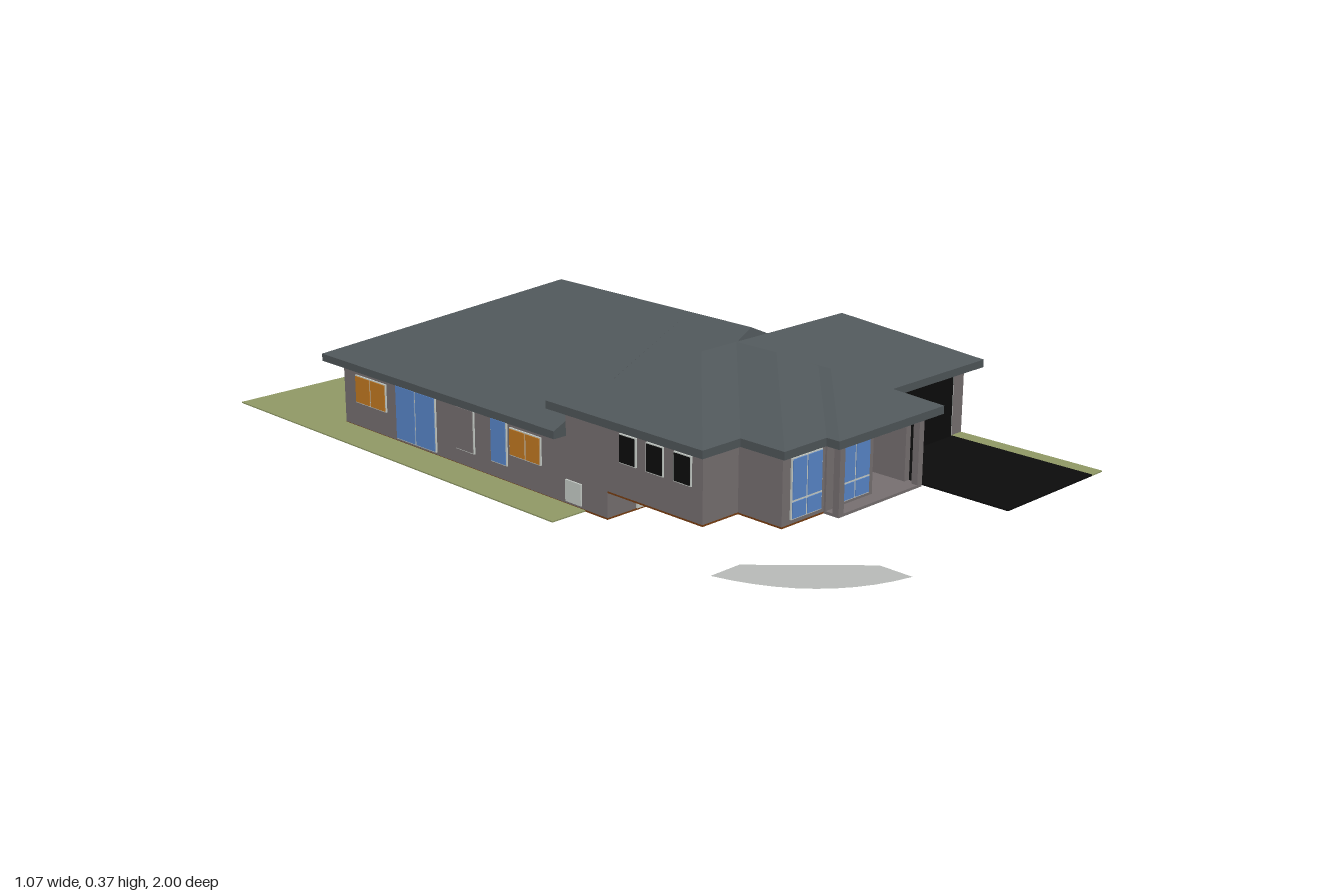
import * as THREE from 'three';

export function createModel() {
  const model = new THREE.Group();
  const mat = (name, color) => {
    const m = new THREE.MeshStandardMaterial({ color });
    m.name = name;
    return m;
  };
  const wall = mat('wall grey', 0x787172);
  const roof = mat('roof slate', 0x50575a);
  const lawn = mat('lawn green', 0x929b67);
  const black = mat('asphalt black', 0x0c0c0c);
  const blue = mat('window blue', 0x5a88cc);
  const frame = mat('frame light grey', 0xc9cfca);
  const brown = mat('floor brown', 0x7a3f12);
  const orange = mat('blind orange', 0xc47a22);
  const paving = mat('paving grey', 0xbabdba);
  paving.side = THREE.DoubleSide;

  const add = (name, geometry, material, parent = model) => {
    const m = new THREE.Mesh(geometry, material);
    m.name = name;
    parent.add(m);
    return m;
  };
  // box from its limits on each axis
  const box = (name, material, x0, x1, y0, y1, z0, z1, parent) => {
    const m = add(name, new THREE.BoxGeometry(x1 - x0, y1 - y0, z1 - z0), material, parent);
    m.position.set((x0 + x1) / 2, (y0 + y1) / 2, (z0 + z1) / 2);
    return m;
  };
  // flat faces, each given counter-clockwise from outside
  const faces = (polys) => {
    const p = [];
    for (const f of polys)
      for (let i = 1; i < f.length - 1; i++) p.push(...f[0], ...f[i], ...f[i + 1]);
    const g = new THREE.BufferGeometry();
    g.setAttribute('position', new THREE.Float32BufferAttribute(p, 3));
    g.computeVertexNormals();
    return g;
  };
  // hipped roof: ridge runs from r0 to r1 ([x, y, z]), along z unless alongX
  const hipRoof = (name, x0, x1, z0, z1, y, r0, r1, alongX, eave = 0.018) => {
    const a = [x0, y, z0], b = [x1, y, z0], c = [x1, y, z1], d = [x0, y, z1];
    const slopes = alongX
      ? [[d, c, r1, r0], [b, a, r0, r1], [a, d, r0], [c, b, r1]]
      : [[a, d, r1, r0], [c, b, r0, r1], [b, a, r0], [d, c, r1]];
    add(name, faces(slopes), roof);
    box(name + 'Eaves', roof, x0, x1, y - eave, y, z0, z1);
  };

  // ---- grounds
  box('lawnBack', lawn, -0.46, 0.5, 0, 0.003, -1, -0.68);
  box('lawnLeft', lawn, -0.46, -0.365, 0, 0.003, -0.68, 0.19);
  box('lawnRight', lawn, 0.41, 0.5, 0, 0.003, -0.68, 0.13);
  box('lawnFront', lawn, 0.46, 0.5, 0.062, 0.065, 0.54, 0.92);
  box('driveway', black, 0.15, 0.46, 0.062, 0.066, 0.54, 0.92);
  const patch = new THREE.Shape();
  patch.moveTo(-0.27, -0.92);
  patch.lineTo(-0.46, -0.73);
  patch.lineTo(-0.54, -0.73);
  patch.quadraticCurveTo(-0.485, -0.955, -0.27, -1);
  const path = add('pavedPatch', new THREE.ShapeGeometry(patch, 10), paving);
  path.rotation.x = -Math.PI / 2;
  path.position.y = 0.062;

  // ---- lower rear storey, with an open corner for the terrace
  box('rearHouse', wall, -0.365, 0.16, 0.004, 0.17, -0.68, 0.13);
  box('rearWing', wall, 0.16, 0.41, 0.004, 0.17, -0.4, 0.13);
  box('foundation', wall, -0.365, 0.5, 0.004, 0.065, 0.13, 0.26);
  box('rearFloor', brown, -0.365, 0.16, 0, 0.004, -0.68, 0.26);
  box('wingFloor', brown, 0.16, 0.41, 0, 0.004, -0.4, 0.22);
  box('terracePost', wall, 0.395, 0.41, 0, 0.16, -0.68, -0.665);
  box('terraceWallPost', wall, 0.395, 0.41, 0, 0.16, -0.415, -0.4);
  box('terraceBackBeam', wall, 0.16, 0.41, 0.142, 0.16, -0.68, -0.668);
  box('terraceSideBeam', wall, 0.398, 0.41, 0.142, 0.16, -0.68, -0.4);

  // ---- raised front storey
  box('frontHouse', wall, -0.365, 0.5, 0.065, 0.225, 0.13, 0.54);
  box('livingBay', wall, -0.26, -0.13, 0.065, 0.225, 0.54, 0.66);
  box('entryBay', wall, -0.13, 0.02, 0.065, 0.225, 0.54, 0.665);
  box('frontFloor', brown, -0.365, 0.11, 0.061, 0.065, 0.26, 0.54);
  box('bayFloor', brown, -0.26, 0.02, 0.061, 0.065, 0.54, 0.66);
  box('garageSlab', wall, 0.11, 0.5, 0.061, 0.065, 0.26, 0.54);
  box('porchSlab', wall, -0.13, 0.145, 0.061, 0.067, 0.54, 0.7);
  for (const x of [-0.13, 0.13]) box('porchPost', wall, x, x + 0.016, 0.065, 0.225, 0.684, 0.7);
  box('porchBeam', wall, -0.13, 0.146, 0.209, 0.225, 0.684, 0.7);
  box('porchSideWall', wall, 0.13, 0.146, 0.065, 0.225, 0.54, 0.665);

  // ---- roofs
  hipRoof('rearRoof', -0.4, 0.43, -0.72, 0.13, 0.176, [0.015, 0.365, -0.304], [0.015, 0.365, 0.13]);
  const L = [-0.265, 0.237, 0.13], R = [0.295, 0.237, 0.13];
  const L2 = [-0.265, 0.237, 0.345], R2 = [0.295, 0.237, 0.345];
  const t0 = [0.015, 0.365, 0.13], t1 = [0.015, 0.365, 0.318];
  add('roofLink', faces([[L, L2, t1, t0], [R2, R, t0, t1], [L2, R2, t1]]), roof);
  hipRoof('frontRoof', -0.4, 0.53, 0.105, 0.572, 0.24, [-0.165, 0.35, 0.34], [0.297, 0.35, 0.34], true);
  hipRoof('livingBayRoof', -0.29, 0.178, 0.34, 0.69, 0.24, [-0.056, 0.35, 0.34], [-0.056, 0.35, 0.456]);
  hipRoof('entryRoof', -0.163, 0.18, 0.38, 0.724, 0.24, [0.009, 0.321, 0.38], [0.009, 0.321, 0.552]);

  // ---- windows and doors: thin plates on a wall facing x or z
  // columns and rows list the edges of the panes
  const plate = (name, material, axis, at, dir, a0, a1, y0, y1, depth, parent) => {
    const n = Math.min(at, at + dir * depth), f = Math.max(at, at + dir * depth);
    if (axis === 'x') box(name, material, n, f, y0, y1, a0, a1, parent);
    else box(name, material, a0, a1, y0, y1, n, f, parent);
  };
  const windowUnit = (name, axis, at, dir, cols, rows, glass = blue) => {
    const g = new THREE.Group();
    g.name = name;
    model.add(g);
    const e = 0.0025;
    plate('frame', frame, axis, at, dir, cols[0], cols.at(-1), rows[0], rows.at(-1), 0.004, g);
    for (let i = 0; i < cols.length - 1; i++)
      for (let j = 0; j < rows.length - 1; j++)
        plate('pane', glass, axis, at, dir, cols[i] + e, cols[i + 1] - e, rows[j] + e, rows[j + 1] - e, 0.006, g);
  };
  // front
  windowUnit('livingWindow', 'z', 0.66, 1, [-0.236, -0.19, -0.142], [0.075, 0.115, 0.207]);
  windowUnit('entryWindow', 'z', 0.665, 1, [-0.09, -0.043, 0.005], [0.075, 0.115, 0.207]);
  plate('doorSurround', black, 'z', 0.54, 1, 0.038, 0.097, 0.068, 0.207, 0.003);
  plate('frontDoor', wall, 'z', 0.54, 1, 0.04, 0.095, 0.07, 0.183, 0.006);
  plate('doorHandle', frame, 'z', 0.546, 1, 0.044, 0.048, 0.13, 0.142, 0.005);
  plate('garageFrame', frame, 'z', 0.54, 1, 0.147, 0.459, 0.065, 0.225, 0.003);
  plate('garageOpening', black, 'z', 0.54, 1, 0.153, 0.453, 0.065, 0.218, 0.006);
  // undercroft, below the raised storey
  for (const [a0, a1] of [[-0.28, -0.235], [-0.222, -0.165], [-0.15, -0.107], [0.385, 0.405]])
    plate('undercroftPanel', frame, 'z', 0.26, 1, a0, a1, 0.005, 0.06, 0.004);
  plate('undercroftOpening', black, 'z', 0.26, 1, -0.095, -0.02, 0.005, 0.06, 0.004);
  // right-hand side of the plan (+x)
  windowUnit('sideDoor', 'x', 0.41, 1, [-0.3, -0.252, -0.205], [0.012, 0.055, 0.145]);
  windowUnit('sideWindow', 'x', 0.41, 1, [-0.095, -0.04], [0.068, 0.145]);
  plate('sidePane', frame, 'x', 0.41, 1, -0.04, 0, 0.068, 0.14, 0.004);
  // terrace doors
  windowUnit('terraceDoor', 'z', -0.4, -1, [0.19, 0.25, 0.31, 0.37], [0.01, 0.145]);
  // back
  windowUnit('backWindow', 'z', -0.68, -1, [-0.05, 0.003, 0.057, 0.11], [0.095, 0.15]);
  // other side (-x)
  windowUnit('bedroomWindow', 'x', -0.365, -1, [-0.63, -0.57, -0.51], [0.065, 0.135], orange);
  windowUnit('slidingDoor', 'x', -0.365, -1, [-0.47, -0.395, -0.32], [0.01, 0.145]);
  windowUnit('tallWindow', 'x', -0.365, -1, [-0.245, -0.18], [0.04, 0.145], wall);
  windowUnit('narrowWindow', 'x', -0.365, -1, [-0.12, -0.065], [0.04, 0.145]);
  windowUnit('kitchenWindow', 'x', -0.365, -1, [-0.055, 0, 0.05], [0.07, 0.135], orange);
  plate('sidePanel', frame, 'x', -0.365, -1, 0.13, 0.18, 0.01, 0.06, 0.004);
  for (const z of [0.3, 0.38, 0.46])
    windowUnit('upperWindow', 'x', -0.365, -1, [z, z + 0.05], [0.14, 0.205], black);

  return model;
}
